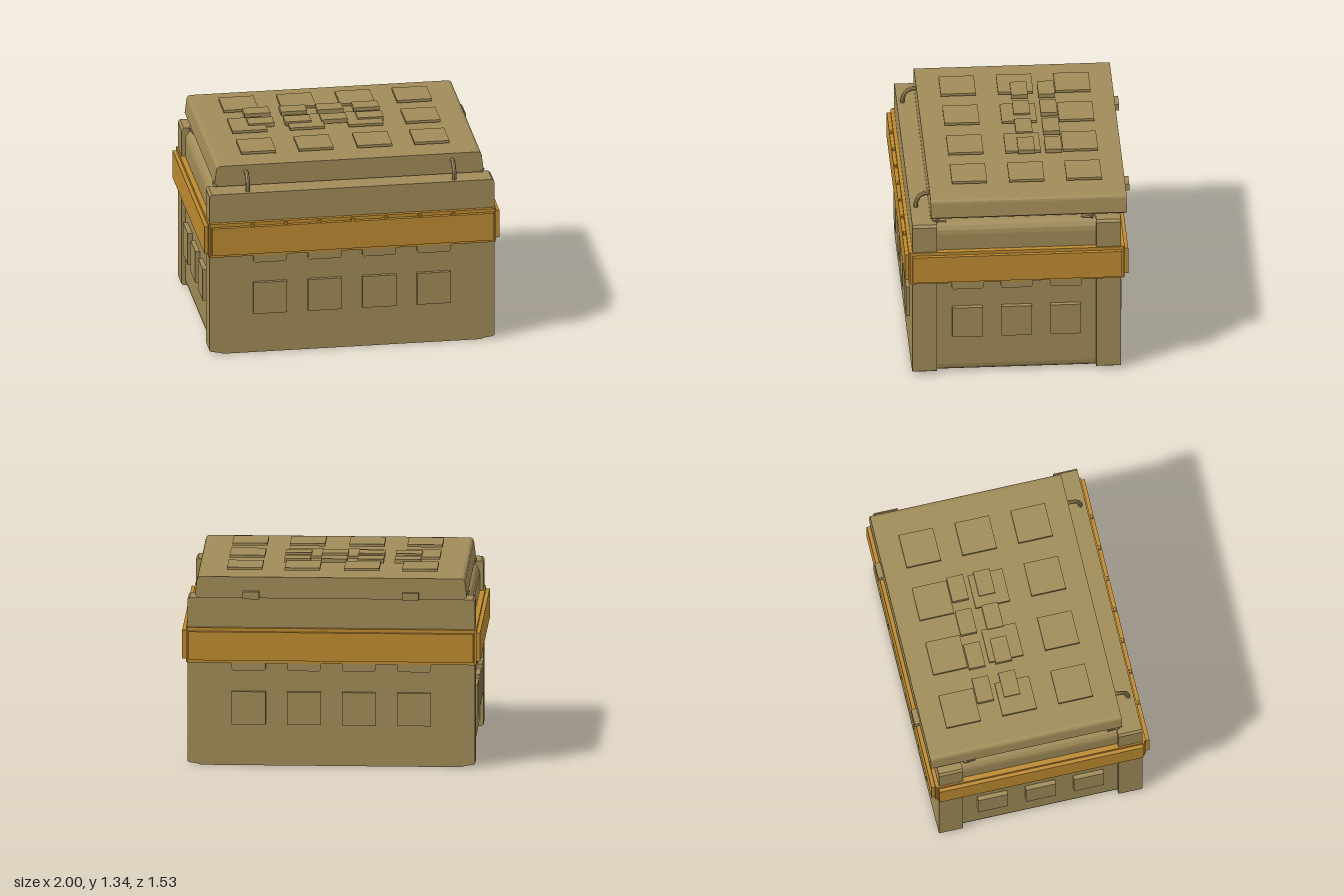
import * as THREE from 'three';

const tan = new THREE.MeshStandardMaterial({ color: 0xa08b58, flatShading: true });
const amber = new THREE.MeshStandardMaterial({ color: 0xbd8a30, flatShading: true });

export function createModel() {
  const model = new THREE.Group();
  model.name = 'storageCrate';

  const add = (name, geometry, material = tan) => {
    const mesh = new THREE.Mesh(geometry, material);
    mesh.name = name;
    model.add(mesh);
    return mesh;
  };

  // Box given by its extents on each axis
  const box = (name, x0, x1, y0, y1, z0, z1, material) => {
    const mesh = add(name, new THREE.BoxGeometry(x1 - x0, y1 - y0, z1 - z0), material);
    mesh.position.set((x0 + x1) / 2, (y0 + y1) / 2, (z0 + z1) / 2);
    return mesh;
  };

  // Mirrored half profile (bottom to top, on +x) extruded from z0 to z1
  const slab = (name, half, z0, z1) => {
    const points = half.map(([x, y]) => new THREE.Vector2(x, y));
    const mirrored = half.map(([x, y]) => new THREE.Vector2(-x, y)).reverse();
    const shape = new THREE.Shape([...points, ...mirrored]);
    const geometry = new THREE.ExtrudeGeometry(shape, { depth: z1 - z0, bevelEnabled: false });
    geometry.translate(0, 0, z0);
    return add(name, geometry);
  };

  // Quarter-round corner points for a half profile
  const corner = (cx, cy, r, from, to, steps = 4) =>
    Array.from({ length: steps + 1 }, (_, i) => {
      const a = from + ((to - from) * i) / steps;
      return [cx + r * Math.cos(a), cy + r * Math.sin(a)];
    });

  // Body: recessed middle with rounded edges between two wider end walls
  slab('bodyMiddle', [
    ...corner(0.88, 0.06, 0.06, -Math.PI / 2, 0),
    ...corner(0.86, 1.06, 0.08, 0, Math.PI / 2),
  ], -0.53, 0.56);
  const wall = [[0.87, 0], [0.9, 0.01], [0.955, 0.017], [0.965, 0.025], [0.965, 1.13], [0.95, 1.147]];
  slab('frontWall', wall, 0.55, 0.715);
  slab('backWall', wall, -0.685, -0.52);

  // Coloured band around the body, with a raised plate on each side
  box('band', -0.965, 0.965, 0.705, 0.945, -0.71, 0.74, amber);
  box('bandPlateFront', -0.955, 0.955, 0.727, 0.922, 0.74, 0.765, amber);
  box('bandPlateBack', -0.955, 0.955, 0.727, 0.922, -0.735, -0.71, amber);
  for (const s of [-1, 1]) {
    box('bandSide', s * 0.97 - 0.005, s * 0.97 + 0.005, 0.705, 0.945, -0.7, 0.73, amber);
    box('bandPlateSide', s * 0.9825 - 0.0175, s * 0.9825 + 0.0175, 0.727, 0.922, -0.69, 0.715, amber);
  }
  for (let i = -3; i <= 3; i++) {
    const x = i * 0.2265;
    box('bandStud', x - 0.013, x + 0.013, 0.915, 0.937, 0.742, 0.758, amber);
  }

  // Wall panels and the tapered tabs hanging under the band
  const tabShape = (w) => new THREE.Shape([
    [-w, 0.71], [-w, 0.665], [-w + 0.012, 0.652], [w - 0.012, 0.652], [w, 0.665], [w, 0.71],
  ].map(([x, y]) => new THREE.Vector2(x, y)));
  const tab = (w, depth) => new THREE.ExtrudeGeometry(tabShape(w), { depth, bevelEnabled: false });

  for (const x of [-0.557, -0.187, 0.183, 0.553]) {
    box('frontPanel', x - 0.114, x + 0.114, 0.283, 0.508, 0.71, 0.739);
    box('backPanel', x - 0.114, x + 0.114, 0.283, 0.508, -0.707, -0.68);
    add('frontTab', tab(0.114, 0.025)).position.set(x, 0, 0.71);
    add('backTab', tab(0.114, 0.025)).position.set(x, 0, -0.705);
  }
  for (const z of [0.345, 0.015, -0.315]) {
    for (const s of [-1, 1]) {
      box('sidePanel', s * 0.953 - 0.018, s * 0.953 + 0.018, 0.283, 0.508, z - 0.102, z + 0.102);
      const sideTab = add('sideTab', tab(0.106, 0.036));
      sideTab.rotation.y = (s * Math.PI) / 2;
      sideTab.position.set(s * 0.932, 0, z);
    }
  }

  // Lid with rounded top edges
  slab('lid', [
    [0.885, 1.155], [0.912, 1.175],
    ...corner(0.872, 1.272, 0.028, 0.1, Math.PI / 2, 3),
  ], -0.728, 0.588);

  // Raised tiles on the lid
  for (const x of [-0.589, -0.199, 0.199, 0.586])
    for (const z of [-0.455, -0.07, 0.315])
      box('lidPanel', x - 0.118, x + 0.118, 1.314, 1.332, z - 0.118, z + 0.118);
  for (const x of [-0.497, -0.248, -0.002, 0.243])
    for (const z of [-0.275, -0.092])
      box('lidTile', x - 0.088, x + 0.088, 1.315, 1.344, z - 0.056, z + 0.056);

  for (const s of [-1, 1]) {
    // Curved hinge rods and the opposite latches
    const path = new THREE.CatmullRomCurve3([
      [0.676, 1.13], [0.674, 1.18], [0.655, 1.225], [0.62, 1.248], [0.575, 1.255],
    ].map(([z, y]) => new THREE.Vector3(s * 0.7, y, z)));
    add('hingeRod', new THREE.TubeGeometry(path, 12, 0.015, 8));
    box('lidLatch', s * 0.535 - 0.055, s * 0.535 + 0.055, 1.155, 1.205, -0.765, -0.72);

    // Small angular clips under the lid corners
    for (const z of [0.555, -0.49]) {
      const clip = add('lidClip', new THREE.OctahedronGeometry(0.026));
      clip.position.set(s * 0.9, 1.155, z);
      clip.rotation.set(0.3, 0, s * 0.5);
      const arm = add('clipArm', new THREE.CylinderGeometry(0.01, 0.016, 0.07, 6));
      arm.position.set(s * 0.9, 1.15, z - Math.sign(z) * 0.035);
      arm.rotation.x = Math.PI / 2;
    }
  }

  return model;
}
